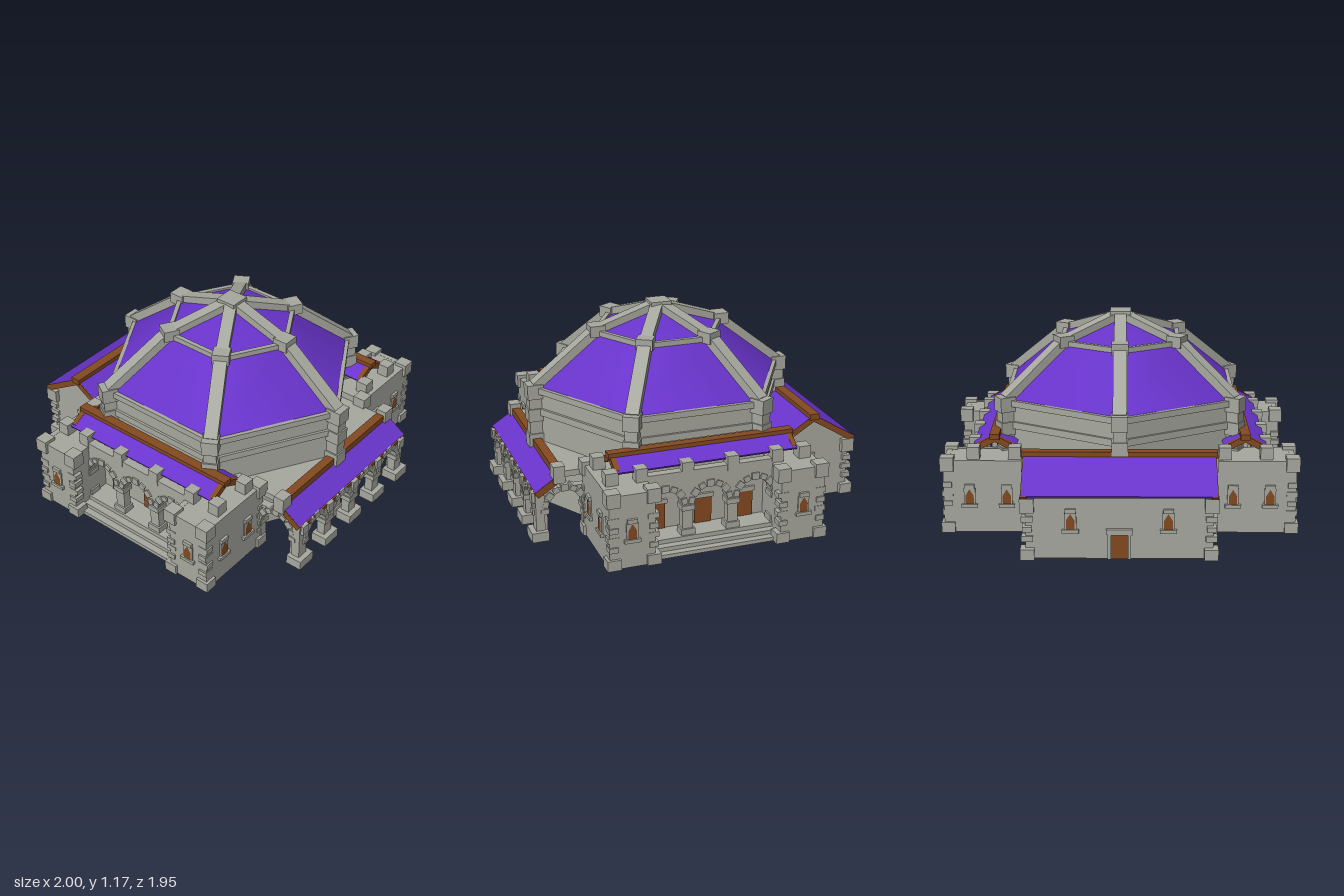
import * as THREE from 'three';

const mat = (name, color) => {
  const m = new THREE.MeshStandardMaterial({ color, side: THREE.DoubleSide });
  m.name = name;
  return m;
};

export function createModel() {
  const stone = mat('stone', 0xa7a89f);
  const purple = mat('purple roofing', 0x6934cc);
  const timber = mat('brown timber', 0x834a20);
  const model = new THREE.Group();
  model.name = 'domedHall';
  const ZC = 0.055; // centre of the hexagonal hall

  const group = (name, parent = model) => {
    const g = new THREE.Group();
    g.name = name;
    parent.add(g);
    return g;
  };
  const mesh = (p, name, geo, m, x = 0, y = 0, z = 0, ry = 0) => {
    const o = new THREE.Mesh(geo, m);
    o.name = name;
    o.position.set(x, y, z);
    o.rotation.y = ry;
    p.add(o);
    return o;
  };
  // box given by its centre in x/z and its bottom and top in y
  const box = (p, name, m, w, d, x, z, y0, y1, ry = 0) =>
    mesh(p, name, new THREE.BoxGeometry(w, y1 - y0, d), m, x, (y0 + y1) / 2, z, ry);
  // flat bar of width w and thickness t running from a to b
  const bar = (p, name, m, a, b, w, t) => {
    const A = new THREE.Vector3(...a), B = new THREE.Vector3(...b);
    const o = mesh(p, name, new THREE.BoxGeometry(w, t, A.distanceTo(B)), m);
    o.position.copy(A).lerp(B, 0.5);
    o.lookAt(B);
    return o;
  };
  const corner = (i, r, y) => [Math.sin(i * Math.PI / 3) * r, y, ZC + Math.cos(i * Math.PI / 3) * r];
  const outline = (points) => new THREE.Shape(points.map(([x, y]) => new THREE.Vector2(x, y)));

  // window: stone surround, sill, lintel and pointed pane
  const pane = outline([[-0.023, 0], [0.023, 0], [0.023, 0.05], [0, 0.088], [-0.023, 0.05]]);
  const windowAt = (p, x, z, ry) => {
    const g = group('window', p);
    g.position.set(x, 0, z);
    g.rotation.y = ry;
    box(g, 'windowFrame', stone, 0.064, 0.016, 0, 0, 0.19, 0.29);
    box(g, 'windowSill', stone, 0.09, 0.036, 0, 0, 0.178, 0.198);
    box(g, 'windowLintel', stone, 0.056, 0.03, 0, 0, 0.288, 0.312);
    mesh(g, 'windowPane', new THREE.ShapeGeometry(pane), timber, 0, 0.198, 0.0105);
  };
  // four walls without a floor
  const walls = (p, name, x0, x1, z0, z1, y0, y1) => {
    const t = 0.03, mx = (x0 + x1) / 2, mz = (z0 + z1) / 2, w = Math.abs(x1 - x0), d = Math.abs(z1 - z0);
    for (const z of [z0 + t / 2, z1 - t / 2]) box(p, name, stone, w, t, mx, z, y0, y1);
    for (const x of [mx - w / 2 + t / 2, mx + w / 2 - t / 2]) box(p, name, stone, t, d, x, mz, y0, y1);
  };
  // corner stones: heavy foot and head with shallow alternating blocks between
  const quoins = (p, x, z, top) => {
    box(p, 'cornerFoot', stone, 0.076, 0.076, x, z, 0.03, 0.09);
    box(p, 'cornerHead', stone, 0.076, 0.076, x, z, top - 0.08, top);
    for (let i = 0, y = 0.13; y < top - 0.12; i++, y += 0.055)
      box(p, 'quoin', stone, i % 2 ? 0.05 : 0.062, i % 2 ? 0.062 : 0.05, x, z, y, y + 0.03);
  };
  // wall pierced by round arches, with voussoirs and capitals
  const arcade = (p, name, o) => {
    const g = group(name, p), s = new THREE.Shape();
    s.moveTo(-o.half, o.y0);
    for (const c of o.centres) {
      s.lineTo(c - o.r, o.y0);
      s.lineTo(c - o.r, o.spring);
      s.absarc(c, o.spring, o.r, Math.PI, 0, true);
      s.lineTo(c + o.r, o.y0);
    }
    s.lineTo(o.half, o.y0);
    s.lineTo(o.half, o.top);
    s.lineTo(-o.half, o.top);
    const geo = new THREE.ExtrudeGeometry(s, { depth: o.depth, bevelEnabled: false, curveSegments: 8 });
    geo.translate(0, 0, -o.depth / 2);
    mesh(g, 'archWall', geo, stone);
    for (const c of o.centres) {
      for (let i = 0; i < 7; i++) {
        const a = (i + 0.5) * Math.PI / 7, r = o.r + 0.012, big = i % 2;
        const v = mesh(g, 'voussoir', new THREE.BoxGeometry(big ? 0.042 : 0.036, big ? 0.04 : 0.032, o.depth + 0.018),
          stone, c + Math.cos(a) * r, o.spring + Math.sin(a) * r, 0);
        v.rotation.z = a - Math.PI / 2;
      }
      for (const e of [-1, 1])
        box(g, 'capital', stone, 0.045, o.depth + 0.022, c + e * (o.r + 0.015), 0, o.spring - 0.03, o.spring);
    }
    return g;
  };

  // hexagonal drum and dome
  const hall = group('hall');
  const hex = (name, r1, r0, y0, y1, m) => mesh(hall, name,
    new THREE.CylinderGeometry(r1, r0, y1 - y0, 6, 1, true), m, 0, (y0 + y1) / 2, ZC);
  const drum = hex('drumWall', 0.735, 0.735, 0.03, 0.735, stone);
  drum.geometry = drum.geometry.toNonIndexed();
  drum.geometry.computeVertexNormals();
  hex('lowerDome', 0.375, 0.735, 0.735, 1.02, purple);
  hex('upperDome', 0.01, 0.375, 1.02, 1.135, purple);
  for (let i = 0; i < 6; i++) {
    const [x, , z] = corner(i, 0.75, 0), a = i * Math.PI / 3;
    box(hall, 'drumPost', stone, 0.072, 0.072, x, z, 0.03, 0.7, a);
    box(hall, 'postFoot', stone, 0.1, 0.09, x, z, 0, 0.05, a);
    box(hall, 'postBand', stone, 0.088, 0.088, x, z, 0.38, 0.46, a);
    box(hall, 'postBand', stone, 0.088, 0.088, x, z, 0.535, 0.61, a);
    box(hall, 'postHead', stone, 0.092, 0.092, x, z, 0.67, 0.755, a);
    bar(hall, 'lowerRib', stone, corner(i, 0.745, 0.74), corner(i, 0.38, 1.03), 0.076, 0.05);
    bar(hall, 'upperRib', stone, corner(i, 0.38, 1.03), corner(i, 0.03, 1.145), 0.07, 0.045);
    bar(hall, 'domeRing', stone, corner(i, 0.38, 1.02), corner(i + 1, 0.38, 1.02), 0.026, 0.03);
    bar(hall, 'drumRim', stone, corner(i, 0.742, 0.718), corner(i + 1, 0.742, 0.718), 0.03, 0.036);
    bar(hall, 'drumBand', stone, corner(i, 0.737, 0.59), corner(i + 1, 0.737, 0.59), 0.025, 0.04);
    const [kx, , kz] = corner(i, 0.375, 0);
    box(hall, 'ribBlock', stone, 0.095, 0.09, kx, kz, 1.0, 1.065, a);
  }
  box(hall, 'apexBlock', stone, 0.12, 0.12, 0, ZC, 1.125, 1.175);

  // side wings: corner towers, arcaded entrance and gable roof
  for (const s of [1, -1]) {
    const wing = group(s > 0 ? 'leftWing' : 'rightWing');
    for (const e of [1, -1]) {
      const zo = ZC + e * 0.614, zi = ZC + e * 0.36;
      walls(wing, 'towerWall', s * 0.49, s * 0.982, Math.min(zo, zi), Math.max(zo, zi), 0.03, 0.45);
      box(wing, 'towerTop', stone, 0.48, 0.245, s * 0.736, (zo + zi) / 2, 0.42, 0.449);
      for (const x of [0.508, 0.96]) quoins(wing, s * x, zo - e * 0.022, 0.47);
      quoins(wing, s * 0.96, zi + e * 0.01, 0.47);
      for (const x of [0.585, 0.815]) box(wing, 'parapetBlock', stone, 0.07, 0.07, s * x, zo - e * 0.06, 0.44, 0.52);
      for (const x of [0.63, 0.837]) windowAt(wing, s * x, zo, e > 0 ? 0 : Math.PI);
      windowAt(wing, s * 0.982, ZC + e * 0.49, s * Math.PI / 2);
      // timber rafters at the gable ends
      for (const q of [-1, 1])
        bar(wing, 'rafter', timber, [s * 0.7, 0.55, ZC + e * 0.51], [s * 0.7 + q * 0.1, 0.498, ZC + e * 0.51], 0.03, 0.036);
    }
    for (const q of [-1, 1])
      bar(wing, 'wingRoof', purple, [s * 0.7, 0.562, ZC], [s * 0.7 + q * 0.12, 0.5, ZC], 1.045, 0.012);
    box(wing, 'ridgeBeam', timber, 0.055, 1.07, s * 0.7, ZC, 0.545, 0.578);
    const a = arcade(wing, 'entranceArcade',
      { half: 0.385, centres: [-0.26, 0, 0.26], r: 0.1, y0: 0.1, spring: 0.275, top: 0.475, depth: 0.05 });
    a.position.set(s * 0.825, 0, ZC);
    a.rotation.y = s * Math.PI / 2;
    for (let i = 0; i < 4; i++) {
      const z = ZC + (i - 1.5) * 0.26;
      box(wing, 'arcadePost', stone, 0.062, 0.066, s * 0.823, z, 0.44, 0.525);
      box(wing, 'columnFoot', stone, 0.07, 0.08, s * 0.825, z, 0.1, 0.135);
    }
    box(wing, 'entranceWall', stone, 0.03, 0.74, s * 0.715, ZC, 0.03, 0.49);
    for (const z of [-0.245, 0, 0.27]) {
      box(wing, 'doorLintel', stone, 0.03, 0.12, s * 0.73, ZC + z, 0.25, 0.275);
      box(wing, 'door', timber, 0.009, 0.1, s * 0.734, ZC + z, 0.1, 0.25);
    }
    box(wing, 'porchFloor', stone, 0.17, 0.74, s * 0.785, ZC, 0.075, 0.1);
    box(wing, 'upperStep', stone, 0.045, 0.72, s * 0.89, ZC, 0.052, 0.075);
    box(wing, 'lowerStep', stone, 0.045, 0.72, s * 0.93, ZC, 0.03, 0.052);
  }

  // rear hall with a gable roof
  const rear = group('rearHall');
  const gable = outline([[-0.94, 0.03], [-0.94, 0.37], [-0.71, 0.515], [-0.52, 0.41], [-0.52, 0.03]]);
  const gableGeo = new THREE.ExtrudeGeometry(gable, { depth: 0.03, bevelEnabled: false });
  for (const s of [1, -1]) {
    mesh(rear, 'gableWall', gableGeo, stone, s > 0 ? 0.5 : -0.47, 0, 0, -Math.PI / 2);
    bar(rear, 'gableRafter', timber, [s * 0.505, 0.531, -0.71], [s * 0.505, 0.372, -0.969], 0.034, 0.035);
    bar(rear, 'gableRafter', timber, [s * 0.505, 0.531, -0.71], [s * 0.505, 0.407, -0.509], 0.034, 0.035);
    quoins(rear, s * 0.49, -0.932, 0.375);
    windowAt(rear, s * 0.5, -0.7, s * Math.PI / 2);
    windowAt(rear, s * 0.26, -0.94, Math.PI);
  }
  box(rear, 'rearWall', stone, 0.98, 0.03, 0, -0.925, 0.03, 0.375);
  bar(rear, 'rearRoof', purple, [0, 0.543, -0.71], [0, 0.385, -0.968], 1.036, 0.015);
  bar(rear, 'rearRoof', purple, [0, 0.543, -0.71], [0, 0.42, -0.51], 1.036, 0.015);
  box(rear, 'rearRidge', timber, 1.06, 0.058, 0, -0.71, 0.525, 0.56);
  box(rear, 'rearDoor', timber, 0.09, 0.009, 0, -0.944, 0.03, 0.17);
  box(rear, 'rearDoorLintel', stone, 0.14, 0.03, 0, -0.945, 0.17, 0.2);
  for (const s of [1, -1]) box(rear, 'rearDoorJamb', stone, 0.018, 0.025, s * 0.054, -0.943, 0.03, 0.17);

  // front porch: arcade, lean-to roof and flat stone ledge
  const porch = group('frontPorch');
  const front = arcade(porch, 'porchArcade',
    { half: 0.515, centres: [-0.36, -0.12, 0.12, 0.36], r: 0.087, y0: 0.08, spring: 0.2, top: 0.295, depth: 0.05 });
  front.position.z = 0.917;
  for (let i = -2; i <= 2; i++) {
    box(porch, 'columnFoot', stone, 0.12, 0.095, i * 0.24, 0.925, 0.03, 0.085);
    box(porch, 'columnHead', stone, 0.05, 0.06, i * 0.24, 0.93, 0.25, 0.31);
  }
  // the ledge fills the corners between the drum and the porch
  const ledgeGeo = new THREE.ExtrudeGeometry(
    outline([[0, 0.79], [0.49, 0.79], [0.49, 0.5]]), { depth: 0.035, bevelEnabled: false });
  ledgeGeo.rotateX(Math.PI / 2);
  const ledgeMirror = ledgeGeo.clone().rotateZ(Math.PI); // same slab turned over for the other side
  mesh(porch, 'ledge', ledgeGeo, stone, 0, 0.41, 0);
  mesh(porch, 'ledge', ledgeMirror, stone, 0, 0.375, 0);
  for (const s of [1, -1]) {
    const side = arcade(porch, 'sideArch',
      { half: 0.135, centres: [0], r: 0.1, y0: 0.08, spring: 0.21, top: 0.325, depth: 0.045 });
    side.position.set(s * 0.485, 0, 0.775);
    side.rotation.y = Math.PI / 2;
    bar(porch, 'porchRafter', timber, [s * 0.505, 0.377, 0.815], [s * 0.505, 0.299, 0.937], 0.036, 0.038);
    box(porch, 'ledgePost', stone, 0.075, 0.065, s * 0.5, 0.81, 0.36, 0.46);
  }
  bar(porch, 'porchRoof', purple, [0, 0.39, 0.82], [0, 0.312, 0.94], 1.04, 0.014);
  box(porch, 'porchBeam', timber, 0.94, 0.05, 0, 0.805, 0.375, 0.432);
  box(porch, 'eaveBeam', timber, 1.01, 0.045, 0, 0.923, 0.28, 0.306);

  return model;
}
